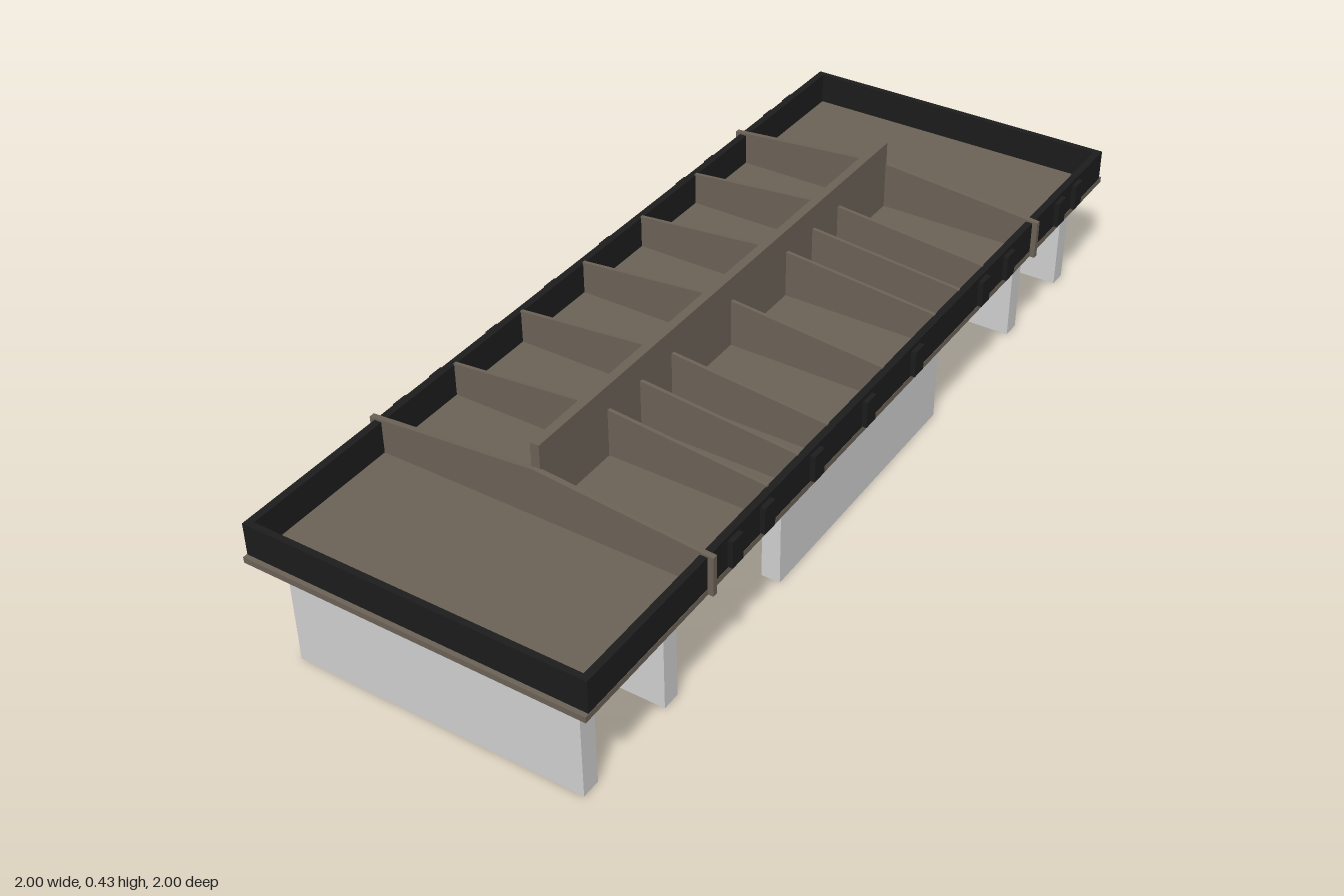
import * as THREE from 'three';

const brown = new THREE.MeshStandardMaterial({ color: 0x6b6256 });
brown.name = 'deckBrown';
const black = new THREE.MeshStandardMaterial({ color: 0x1c1c1c });
black.name = 'parapetBlack';
const grey = new THREE.MeshStandardMaterial({ color: 0xcfcfcf });
grey.name = 'concreteGrey';

export function createModel() {
  const model = new THREE.Group();
  model.name = 'bridgeDeck';

  // Box given by its min and max on each axis
  function box(name, mat, [x0, x1], [y0, y1], [z0, z1]) {
    const mesh = new THREE.Mesh(new THREE.BoxGeometry(x1 - x0, y1 - y0, z1 - z0), mat);
    mesh.position.set((x0 + x1) / 2, (y0 + y1) / 2, (z0 + z1) / 2);
    mesh.name = name;
    model.add(mesh);
  }

  // Thin cross plate from the ridge to one side, its top sloping outward
  function fin(name, x, side, reach, base, thick) {
    const s = new THREE.Shape();
    s.moveTo(0, base);
    s.lineTo(reach, base);
    s.lineTo(reach, 0.338);
    s.lineTo(0, 0.372);
    s.closePath();
    const geo = new THREE.ExtrudeGeometry(s, { depth: thick, bevelEnabled: false });
    geo.translate(0, 0, -thick / 2);
    const mesh = new THREE.Mesh(geo, brown);
    mesh.rotation.y = -side * Math.PI / 2;
    mesh.position.x = x;
    mesh.name = name;
    model.add(mesh);
  }

  // Deck slab and central ridge
  box('deckSlab', brown, [-1.037, 1.037], [0.25, 0.263], [-0.377, 0.377]);
  box('centralRidge', brown, [-0.655, 0.655], [0.26, 0.425], [-0.01, 0.01]);

  // Parapet walls around the deck
  for (const s of [-1, 1]) {
    const z = s * 0.368, x = s * 1.02;
    box('sideParapet', black, [-1.027, 1.027], [0.263, 0.335], [z - 0.008, z + 0.008]);
    box('endParapet', black, [x - 0.007, x + 0.007], [0.263, 0.335], [-0.36, 0.36]);
    // Small posts on the outside of the side parapets
    for (const px of [0.88, 0.79, 0.53, 0.41, 0.11, -0.09, -0.29, -0.47, -0.58]) {
      const pz = s * 0.38;
      box('parapetPost', black, [px - 0.018, px + 0.018], [0.266, 0.326], [pz - 0.007, pz + 0.007]);
    }
  }

  // Cross walls at the ridge ends and ribs between them
  const step = 0.219;
  for (const side of [-1, 1]) {
    for (const x of [-0.658, 0.658]) fin('crossWall', x, side, 0.388, 0.25, 0.012);
    for (let i = -2; i <= 2; i++) fin('rib', i * step, side, 0.362, 0.262, 0.008);
  }
  for (const x of [-1.5 * step, 1.5 * step]) fin('rib', x, 1, 0.362, 0.262, 0.008);

  // Wall piers with slightly wider caps
  function pier(name, cx, cz, hx, hz) {
    const c = 0.01;
    box(name, grey, [cx - hx, cx + hx], [0, 0.206], [cz - hz, cz + hz]);
    box(name + 'Cap', grey, [cx - hx - c, cx + hx + c], [0.206, 0.25], [cz - hz - c, cz + hz + c]);
  }
  for (const x of [-0.965, -0.711, 0.711, 0.965]) pier('crossPier', x, 0, 0.021, 0.325);
  for (const z of [-0.304, -0.12, 0.12, 0.304]) pier('longPier', 0, z, 0.325, 0.021);

  // The whole structure lies diagonally
  model.rotation.y = Math.PI / 4;
  const root = new THREE.Group();
  root.name = 'bridge';
  root.add(model);
  return root;
}
